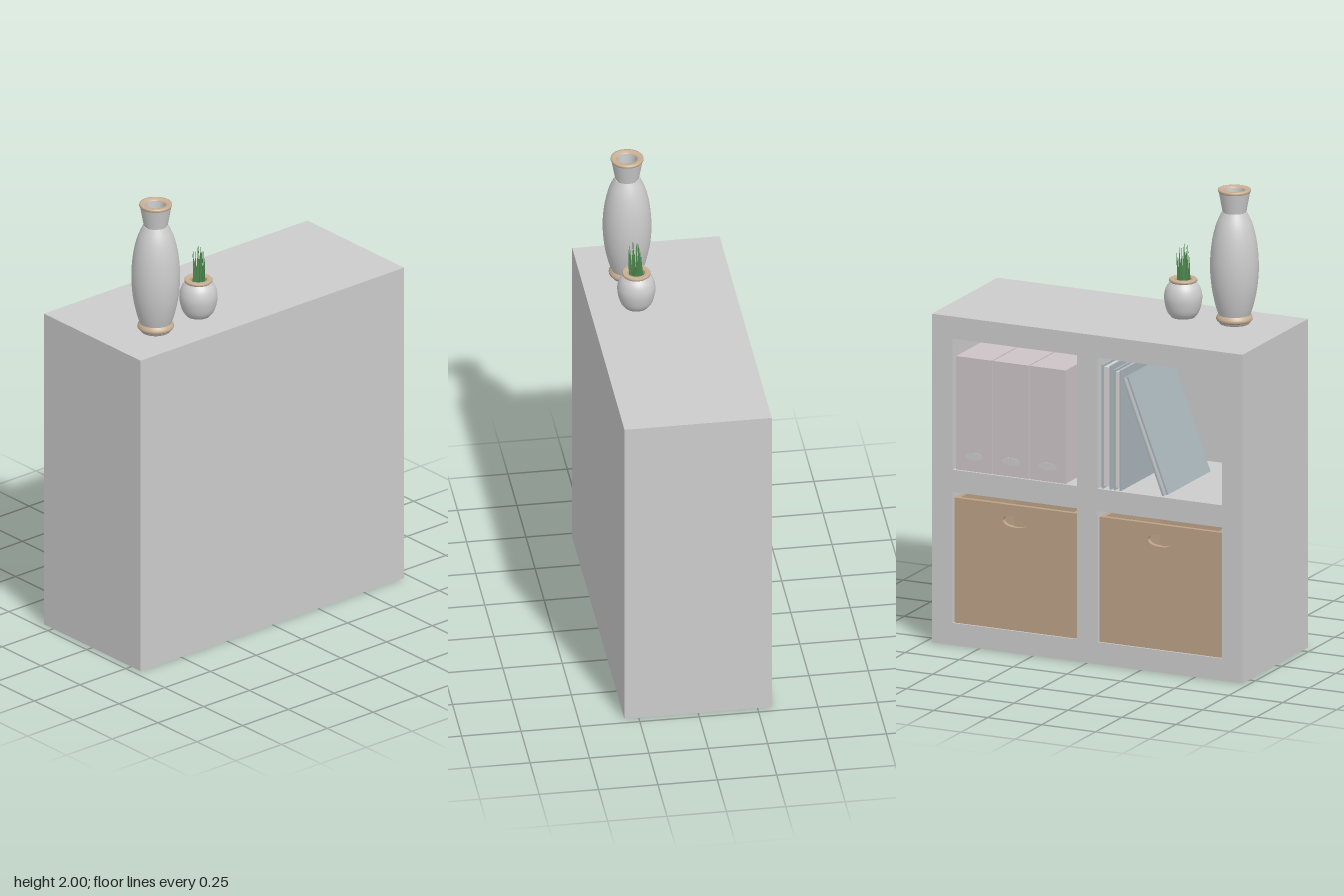
import * as THREE from 'three';

const mat = (color, side = THREE.FrontSide) => new THREE.MeshStandardMaterial({ color, side });
const grey = mat(0xcccccc);
const greyThin = mat(0xcccccc, THREE.DoubleSide);
const tan = mat(0xc8b094);
const brown = mat(0xbba286);
const fileMat = mat(0xccc3c7);
const white = mat(0xf2f2f2);
const bookMat = mat(0xa9b5ba);
const pageMat = mat(0xd8d4d2);
const leafMat = mat(0x4f8a50, THREE.DoubleSide);

// Cabinet sizes: W along its face, H up, D deep, T board thickness
const W = 1.44, H = 1.42, D = 0.62, T = 0.096;
const OPEN_W = (W - 3 * T) / 2, OPEN_H = (H - 3 * T) / 2;
const FRONT = D / 2;
const cellX = [-W / 2 + T, T / 2];
const cellY = [T, 2 * T + OPEN_H];

function add(parent, name, geometry, material, x = 0, y = 0, z = 0) {
  const mesh = new THREE.Mesh(geometry, material);
  mesh.name = name;
  mesh.position.set(x, y, z);
  parent.add(mesh);
  return mesh;
}

// Box placed by its lower left corner and its front face
function block(parent, name, material, w, h, d, x, y, front) {
  return add(parent, name, new THREE.BoxGeometry(w, h, d), material, x + w / 2, y + h / 2, front - d / 2);
}

function rectangle(Kind, x, y, w, h) {
  return new Kind([[x, y], [x + w, y], [x + w, y + h], [x, y + h]].map(p => new THREE.Vector2(...p)));
}

function extrude(shape, depth) {
  return new THREE.ExtrudeGeometry(shape, { depth, bevelEnabled: false, curveSegments: 16 });
}

function lathe(parent, name, points, material) {
  const curve = points.map(p => new THREE.Vector2(...p));
  return add(parent, name, new THREE.LatheGeometry(curve, 32), material);
}

// Smooth profile through a few control points
function smooth(points, n = 16) {
  return new THREE.SplineCurve(points.map(p => new THREE.Vector2(...p))).getPoints(n).map(p => [p.x, p.y]);
}

function createCabinet() {
  const g = new THREE.Group();
  g.name = 'cabinet';
  const back = 0.03;
  const face = rectangle(THREE.Shape, -W / 2, 0, W, H);
  for (const x of cellX) for (const y of cellY) face.holes.push(rectangle(THREE.Path, x, y, OPEN_W, OPEN_H));
  add(g, 'cabinetFrame', extrude(face, D - back), grey, 0, 0, -D / 2 + back);
  block(g, 'cabinetBack', grey, W, H, back, -W / 2, 0, -D / 2 + back);
  return g;
}

// Open storage box with an oval grip hole in its front
function createDrawer(x, y) {
  const g = new THREE.Group();
  g.name = 'storageBox';
  const w = OPEN_W - 0.012, h = 0.54, d = 0.55, t = 0.02;
  const front = rectangle(THREE.Shape, -w / 2, 0, w, h);
  const grip = new THREE.Path();
  grip.absellipse(0, h - 0.07, 0.06, 0.026, 0, Math.PI * 2);
  front.holes.push(grip);
  add(g, 'boxFront', extrude(front, t), brown, 0, 0, -t);
  for (const s of [-1, 1]) {
    add(g, 'boxSide', new THREE.BoxGeometry(t, h, d - 2 * t), brown, s * (w - t) / 2, h / 2, -d / 2);
  }
  block(g, 'boxBack', brown, w, h, t, -w / 2, 0, -d + t);
  block(g, 'boxBottom', brown, w - 2 * t, t, d - 2 * t, -w / 2 + t, 0, -t);
  g.position.set(x + OPEN_W / 2, y, FRONT - 0.008);
  return g;
}

// Document file with an oval finger hole plate near the bottom
function createFile(x, y) {
  const g = new THREE.Group();
  g.name = 'documentFile';
  const w = 0.165, h = 0.49;
  block(g, 'fileBody', fileMat, w, h, 0.45, -w / 2, 0, 0);
  const oval = new THREE.Shape();
  oval.absellipse(0, 0.065, 0.042, 0.016, 0, Math.PI * 2);
  add(g, 'fileFingerHole', extrude(oval, 0.002), white);
  g.position.set(x + w / 2, y, FRONT - 0.01);
  return g;
}

// Upright book: two covers, a spine at the back and a page block between
function createBook(w, h, d) {
  const g = new THREE.Group();
  g.name = 'book';
  const c = 0.008;
  block(g, 'coverLeft', bookMat, c, h, d, 0, 0, 0);
  block(g, 'coverRight', bookMat, c, h, d, w - c, 0, 0);
  block(g, 'spine', bookMat, w - 2 * c, h, c, c, 0, -d + c);
  block(g, 'pages', pageMat, w - 2 * c, h - 0.02, d - c - 0.008, c, 0.01, -0.008);
  return g;
}

function createVase() {
  const g = new THREE.Group();
  g.name = 'vase';
  lathe(g, 'vaseFoot', [[0, 0], [0.062, 0], [0.066, 0.012]], grey);
  lathe(g, 'vaseBaseRing', smooth([[0.062, 0.008], [0.074, 0.014], [0.076, 0.026], [0.068, 0.04]], 8), tan);
  lathe(g, 'vaseBody', smooth([[0.066, 0.036], [0.081, 0.085], [0.096, 0.16], [0.102, 0.25],
    [0.095, 0.345], [0.077, 0.425], [0.052, 0.482]], 20), grey);
  lathe(g, 'vaseNeck', [[0.05, 0.482], [0.066, 0.57]], greyThin);
  lathe(g, 'vaseRim', [[0.066, 0.566], [0.069, 0.572], [0.068, 0.579], [0.062, 0.58],
    [0.046, 0.578], [0.042, 0.572]], tan);
  lathe(g, 'vaseInside', [[0.042, 0.572], [0.036, 0.485], [0.04, 0.42], [0, 0.42]], greyThin);
  return g;
}

function createPlant() {
  const g = new THREE.Group();
  g.name = 'pottedPlant';
  lathe(g, 'pot', [[0, 0], ...smooth([[0.05, 0], [0.069, 0.028], [0.08, 0.082], [0.072, 0.125], [0.054, 0.152]])], grey);
  lathe(g, 'potRim', [[0.054, 0.15], [0.059, 0.155], [0.059, 0.162], [0.055, 0.166],
    [0.038, 0.165], [0.034, 0.158], [0.034, 0.13]], tan);
  add(g, 'soil', new THREE.CylinderGeometry(0.036, 0.036, 0.01, 24), mat(0x4a4038), 0, 0.138, 0);
  // Slim pointed leaves in a spiral, taller toward the middle
  for (let i = 0; i < 14; i++) {
    const a = i * 2.4, r = 0.026 * Math.sqrt((i + 0.5) / 14);
    const h = 0.18 - 0.05 * (i / 14) + 0.012 * Math.sin(i * 5);
    const leaf = new THREE.ConeGeometry(0.008, h, 5).translate(0, h / 2, 0).scale(1, 1, 0.6);
    const mesh = add(g, 'leaf', leaf, leafMat, r * Math.cos(a), 0.14, r * Math.sin(a));
    mesh.rotation.set(0.06 * Math.sin(a), a, -0.06 * Math.cos(a));
  }
  return g;
}

export function createModel() {
  const model = new THREE.Group();
  model.name = 'shelfCabinet';

  // Cabinet and contents, built facing +z and turned to open toward -x
  const unit = new THREE.Group();
  unit.name = 'filledCabinet';
  unit.add(createCabinet());
  for (const x of cellX) unit.add(createDrawer(x, cellY[0]));
  for (let i = 0; i < 3; i++) unit.add(createFile(cellX[0] + 0.012 + i * 0.171, cellY[1]));

  // Two upright books and one leaning against them
  [[0.012, 0.045, 0.535], [0.068, 0.035, 0.52]].forEach(([x, w, h]) => {
    const book = createBook(w, h, 0.4);
    book.position.set(cellX[1] + x, cellY[1], FRONT - 0.012);
    unit.add(book);
  });
  const leaning = createBook(0.03, 0.52, 0.4);
  leaning.position.set(cellX[1] + 0.292, cellY[1], FRONT - 0.016);
  leaning.rotation.z = 0.365;
  unit.add(leaning);
  unit.rotation.y = -Math.PI / 2;
  model.add(unit);

  const vase = createVase();
  vase.position.set(0.117, H, 0.473);
  const plant = createPlant();
  plant.position.set(0.114, H, 0.237);
  model.add(vase, plant);
  return model;
}
